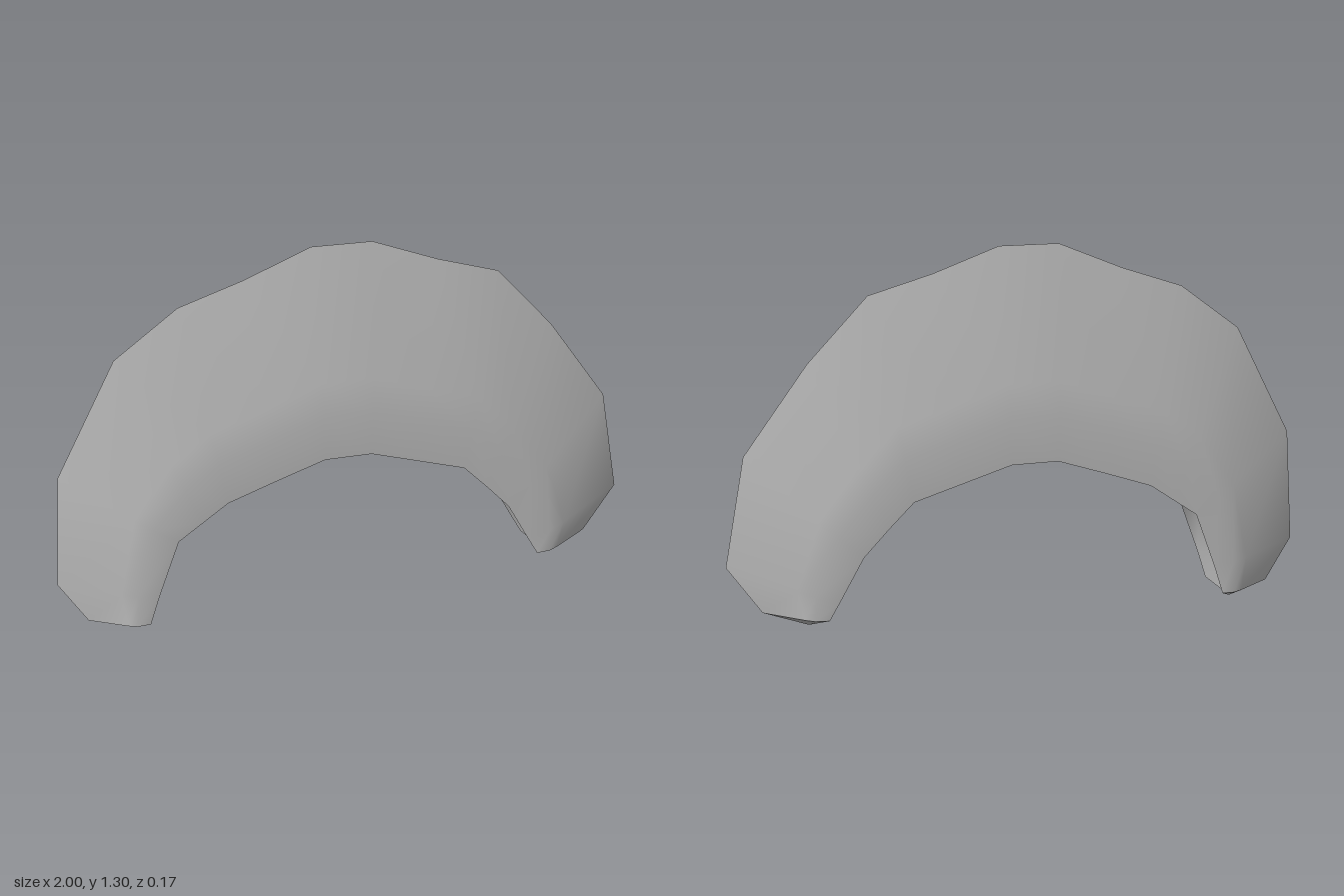
import * as THREE from 'three';
import { toCreasedNormals } from 'three/addons/utils/BufferGeometryUtils.js';

// Stations along the arch: sharp outer edge (x, y), then inner lip (x, y)
const stations = [
  [-0.91, 0.045, -0.71, 0.045],
  [-1.0, 0.2, -0.675, 0.15],
  [-0.965, 0.6, -0.6, 0.35],
  [-0.76, 0.985, -0.515, 0.41],
  [-0.55, 1.14, -0.43, 0.47],
  [-0.34, 1.21, -0.27, 0.527],
  [-0.12, 1.3, -0.1, 0.585],
  [0.08, 1.3, 0.06, 0.585],
  [0.3, 1.22, 0.225, 0.535],
  [0.51, 1.16, 0.39, 0.485],
  [0.71, 0.95, 0.475, 0.4],
  [0.925, 0.66, 0.56, 0.31],
  [1.0, 0.29, 0.645, 0.16],
  [0.89, 0.12, 0.68, 0.1],
];
const tips = { 0: [-0.77, 0], 13: [0.74, 0.06] };

// Half section: fraction from outer edge to inner lip, and half thickness
const half = [[0.62, 0.07], [0.78, 0.083], [1, 0.08]];

// Closed section: outer edge, front side, shallow inner groove, back side
function section([ox, oy, ix, iy], tip) {
  const at = (t, z) => new THREE.Vector3(ox + (ix - ox) * t, oy + (iy - oy) * t, z);
  const groove = tip
    ? new THREE.Vector3(tip[0], tip[1], 0)
    : at(1 - 0.05 / Math.hypot(ix - ox, iy - oy), 0);
  return [
    at(0, 0),
    ...half.map(([t, z]) => at(t, z)),
    groove,
    ...[...half].reverse().map(([t, z]) => at(t, -z)),
  ];
}

function bladeGeometry() {
  const rings = stations.map((s, i) => section(s, tips[i]));
  const n = rings[0].length, hub = half.length + 1, last = rings.length - 1;
  const points = [];
  const tri = (a, b, c) => points.push(a, b, c);
  // Skin between neighbouring sections
  for (let i = 0; i < last; i++) {
    for (let j = 0; j < n; j++) {
      const k = (j + 1) % n;
      const a = rings[i][j], b = rings[i][k], c = rings[i + 1][k], d = rings[i + 1][j];
      tri(a, b, c);
      tri(a, c, d);
    }
  }
  // End caps fan out from the pointed tips
  for (let j = 0; j < n; j++) {
    const k = (j + 1) % n;
    if (j === hub || k === hub) continue;
    tri(rings[0][hub], rings[0][k], rings[0][j]);
    tri(rings[last][hub], rings[last][j], rings[last][k]);
  }
  return toCreasedNormals(new THREE.BufferGeometry().setFromPoints(points), 0.65);
}

export function createModel() {
  const group = new THREE.Group();
  group.name = 'crescentBlade';
  const blade = new THREE.Mesh(bladeGeometry(), new THREE.MeshStandardMaterial({ color: 0xcccccc }));
  blade.name = 'blade';
  group.add(blade);
  return group;
}
